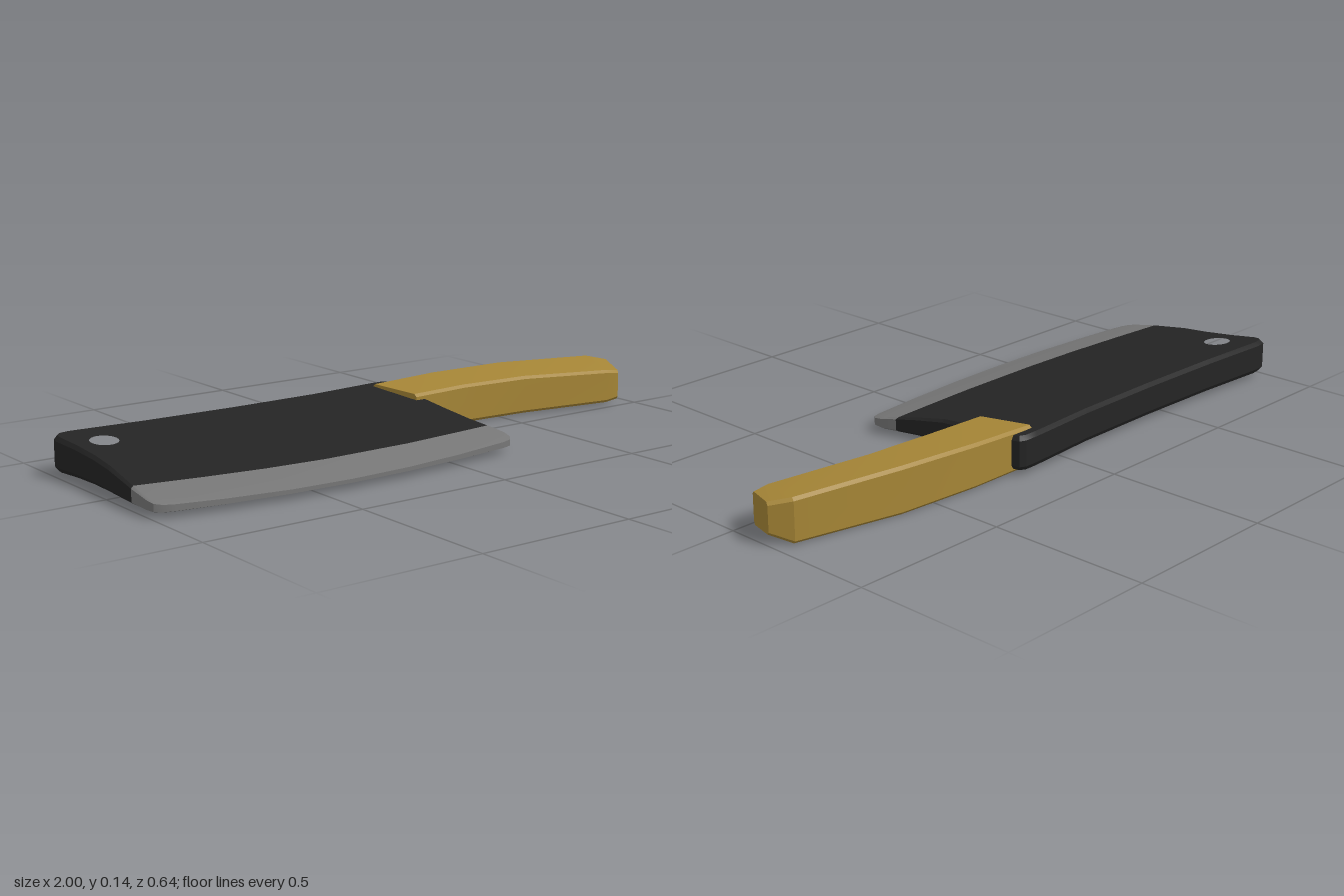
import * as THREE from 'three';
import { toCreasedNormals } from 'three/addons/utils/BufferGeometryUtils.js';

const BOTTOM = 0.018;
// Height of the blade's upper face, falling from the spine to the cutting edge
const PROFILE = [[-0.325, 0.125], [0, 0.092], [0.18, 0.062], [0.325, 0.032]];
function topHeight(z) {
  let i = 0;
  while (i < PROFILE.length - 2 && z > PROFILE[i + 1][0]) i++;
  const [z0, y0] = PROFILE[i], [z1, y1] = PROFILE[i + 1];
  return y0 + (y1 - y0) * (z - z0) / (z1 - z0);
}

// Slab from an [x, z] outline: tapered to the profile, its rims drawn in a little
function bladePiece(name, outline, material, hole) {
  const shape = new THREE.Shape(outline.map(([x, z]) => new THREE.Vector2(x, -z)));
  if (hole) shape.holes.push(new THREE.Path().absarc(hole[0], -hole[1], hole[2], 0, Math.PI * 2, true));
  const geo = new THREE.ExtrudeGeometry(shape, { depth: 1, steps: 8, bevelEnabled: false, curveSegments: 24 });
  geo.rotateX(-Math.PI / 2);
  const p = geo.attributes.position;
  for (let i = 0; i < p.count; i++) {
    const t = p.getY(i), x = p.getX(i), z = p.getZ(i);
    const rim = t < 0.01 || t > 0.99;
    p.setXYZ(i,
      rim ? -0.38 + (x + 0.38) * 0.986 : x,
      BOTTOM + t * (topHeight(z) - BOTTOM),
      rim ? z * 0.975 : z);
  }
  const mesh = new THREE.Mesh(toCreasedNormals(geo, 0.5), material);
  mesh.name = name;
  return mesh;
}

// Handle lofted through chamfered four-sided sections
function handleGeometry() {
  // back [x, z, bottom, top], front [x, z, bottom, top]
  const stations = [
    [[0.12, -0.288, 0.004, 0.13], [0.155, -0.107, 0.004, 0.122]],
    [[0.35, -0.286, 0.003, 0.139], [0.35, -0.106, 0.003, 0.127]],
    [[0.617, -0.262, 0.001, 0.144], [0.59, -0.09, 0.004, 0.127]],
    [[0.95, -0.195, 0.005, 0.138], [0.9, -0.029, 0.008, 0.118]],
    [[1.0, -0.148, 0.032, 0.127], [0.95, -0.029, 0.014, 0.112]],
  ];
  const b = 0.009;
  const pos = [], index = [];
  for (const [k, f] of stations) {
    const len = Math.hypot(f[0] - k[0], f[1] - k[1]);
    const at = (e, y) => pos.push(k[0] + (f[0] - k[0]) * e, y, k[1] + (f[1] - k[1]) * e);
    const c = b / len;
    at(0, k[2] + b); at(0, k[3] - b); at(c, k[3]); at(1 - c, f[3]);
    at(1, f[3] - b); at(1, f[2] + b); at(1 - c, f[2]); at(c, k[2]);
  }
  const n = 8, last = (stations.length - 1) * n;
  for (let s = 0; s < last; s += n) {
    for (let i = 0; i < n; i++) {
      const j = (i + 1) % n;
      index.push(s + i, s + j, s + n + i, s + j, s + n + j, s + n + i);
    }
  }
  for (let i = 1; i < n - 1; i++) {
    index.push(0, i + 1, i, last, last + i, last + i + 1);
  }
  const geo = new THREE.BufferGeometry();
  geo.setAttribute('position', new THREE.Float32BufferAttribute(pos, 3));
  geo.setIndex(index);
  return toCreasedNormals(geo, 0.35);
}

export function createModel() {
  const paint = (name, color) => {
    const m = new THREE.MeshStandardMaterial({ color });
    m.name = name;
    return m;
  };
  const darkSteel = paint('dark steel', 0x242424);
  const brightSteel = paint('bright steel', 0x767676);
  const wood = paint('ochre wood', 0xa58536);

  const group = new THREE.Group();
  group.name = 'cleaver';

  // Outline pieces, each running left to right
  const spine = [
    [-0.99, 0], [-0.985, -0.1], [-0.989, -0.2], [-1, -0.285], [-0.997, -0.305], [-0.985, -0.32],
    [-0.95, -0.325], [-0.7, -0.312], [-0.4, -0.306], [-0.1, -0.309], [0.14, -0.325],
    [0.185, -0.325], [0.203, -0.315], [0.207, -0.295], [0.196, -0.11], [0.195, 0],
  ];
  const seam = [
    [-1, 0.14], [-0.8, 0.163], [-0.6, 0.181], [-0.4, 0.19], [-0.1, 0.187], [0.1, 0.175], [0.227, 0.166],
  ];
  const edge = [
    [-1, 0.225], [-0.995, 0.248], [-0.975, 0.264], [-0.94, 0.273], [-0.8, 0.294], [-0.6, 0.314],
    [-0.4, 0.32], [-0.2, 0.315], [0, 0.299], [0.19, 0.275], [0.22, 0.266], [0.235, 0.248], [0.24, 0.215],
  ];
  const middle = [[-0.99, 0], [0.195, 0], [0.21, 0.1], ...[...seam].reverse()];

  group.add(
    bladePiece('bladeBack', spine, darkSteel, [-0.9, -0.205, 0.043]),
    bladePiece('bladeMiddle', middle, darkSteel),
    bladePiece('cuttingEdge', [...seam, ...edge.reverse()], brightSteel),
  );

  const handle = new THREE.Mesh(handleGeometry(), wood);
  handle.name = 'handle';
  group.add(handle);
  return group;
}
